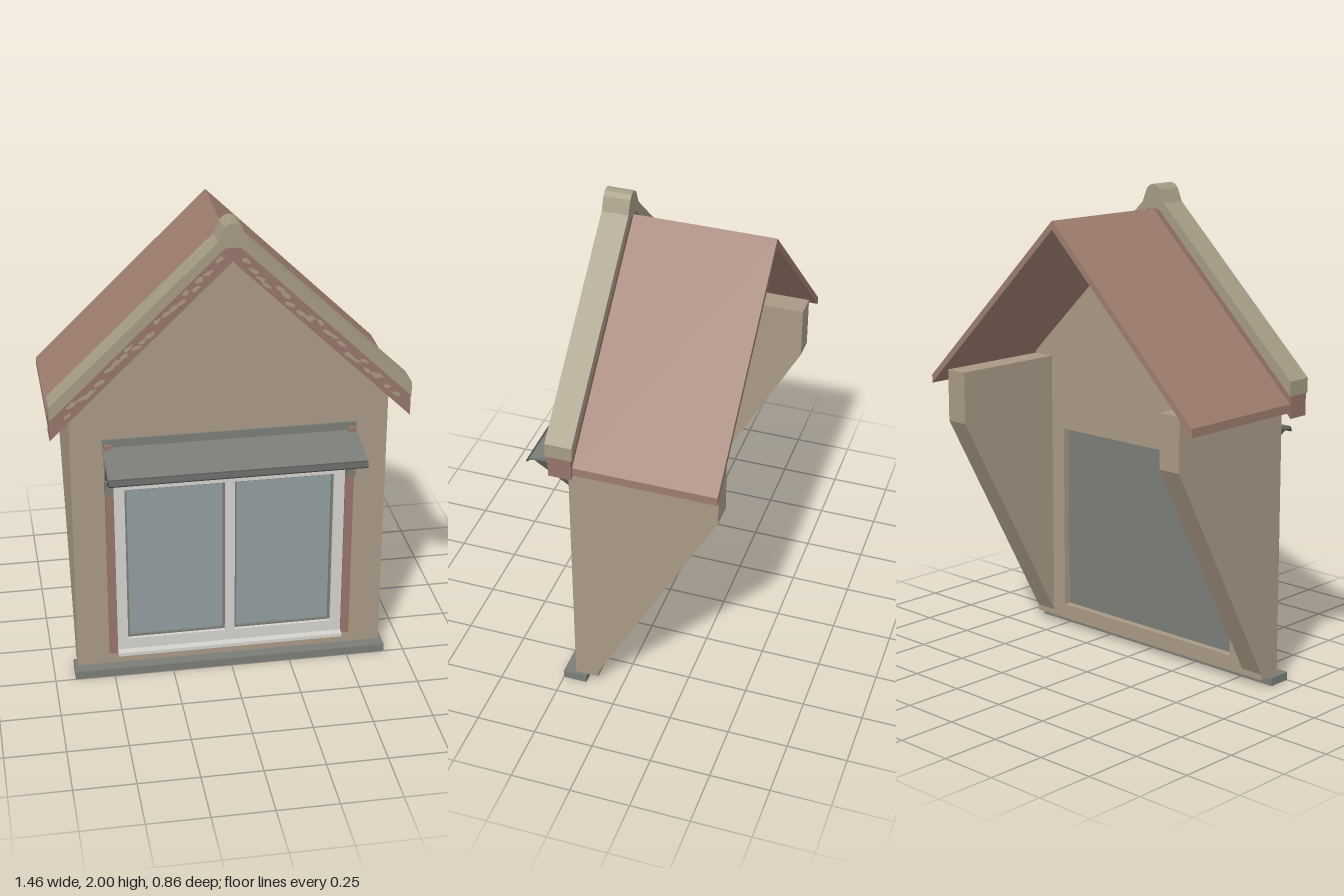
import * as THREE from 'three';

const mat = (name, color, side = THREE.FrontSide) => {
  const m = new THREE.MeshStandardMaterial({ color, side });
  m.name = name;
  return m;
};

export function createModel() {
  const wall = mat('render', 0xa89985);
  const stone = mat('coping stone', 0xa59b84);
  const tile = mat('roof tile', 0x9d7c6e);
  const brick = mat('brick', 0x97746a);
  const grey = mat('grey metal', 0x7a7d77);
  const dark = mat('dark metal', 0x525652);
  const white = mat('window white', 0xd3d2cd);
  const glass = mat('glass', 0x919c9e);

  const root = new THREE.Group();
  root.name = 'dormer';
  const add = (name, geo, material, parent = root) => {
    const mesh = new THREE.Mesh(geo, material);
    mesh.name = name;
    parent.add(mesh);
    return mesh;
  };
  // Box given by its limits on each axis
  const box = (name, [x0, x1], [y0, y1], [z0, z1], material, parent) => {
    const g = new THREE.BoxGeometry(x1 - x0, y1 - y0, z1 - z0);
    g.translate((x0 + x1) / 2, (y0 + y1) / 2, (z0 + z1) / 2);
    return add(name, g, material, parent);
  };
  const toShape = pts => new THREE.Shape(pts.map(p => new THREE.Vector2(...p)));
  const rect = (x0, x1, y0, y1) => toShape([[x0, y0], [x1, y0], [x1, y1], [x0, y1]]);
  // Shape in x,y extruded from z0 to z1
  const slab = (shape, z0, z1) =>
    new THREE.ExtrudeGeometry(shape, { depth: z1 - z0, bevelEnabled: false }).translate(0, 0, z0);
  // Shape in z,y extruded from x0 to x1
  const sideSlab = (pts, x0, x1) =>
    new THREE.ExtrudeGeometry(toShape(pts), { depth: x1 - x0, bevelEnabled: false })
      .rotateY(-Math.PI / 2).translate(x1, 0, 0);
  // Complete a symmetric outline from its +x half
  const mirrored = half =>
    toShape([...half, ...half.filter(p => p[0] > 0).reverse().map(([x, y]) => [-x, y])]);

  // Front gable wall with window opening
  const gable = toShape([[-0.65, 0.035], [0.65, 0.035], [0.65, 1.23], [0, 1.86], [-0.65, 1.23]]);
  gable.holes.push(rect(-0.48, 0.48, 0.1, 0.905));
  add('frontWall', slab(gable, 0.1, 0.2), wall);

  // Side cheeks tapering down to the wall
  const cheek = [[0.1, 0.035], [0.1, 0.06], [-0.41, 1.0], [-0.41, 1.22], [0.1, 1.22]];
  for (const [name, x0] of [['leftCheek', 0.55], ['rightCheek', -0.65]])
    add(name, sideSlab(cheek, x0, x0 + 0.1), wall);

  // Base ledge
  box('baseLedge', [-0.665, 0.665], [0, 0.035], [0.15, 0.25], grey);

  // Main roof
  add('roof', slab(mirrored([[0, 1.9], [0.73, 1.19], [0.73, 1.155], [0, 1.865]]), -0.43, 0.15), tile);

  // Brick verge and stone coping with rounded peak
  add('brickVerge', slab(mirrored([[0.03, 1.9], [0.73, 1.22], [0.73, 1.13], [0, 1.84]]), 0.155, 0.25), brick);
  add('coping', slab(mirrored([[0, 2], [0.018, 1.995], [0.035, 1.98], [0.046, 1.955], [0.058, 1.925],
    [0.73, 1.28], [0.73, 1.22], [0.03, 1.9]]), 0.15, 0.26), stone);

  // Worn render patches on the brick
  let seed = 7;
  const rnd = () => (seed = (seed * 16807) % 2147483647) / 2147483647;
  const patches = new THREE.Group();
  patches.name = 'renderPatches';
  root.add(patches);
  for (const s of [-1, 1]) for (let i = 0; i < 22; i++) {
    const x = 0.05 + 0.63 * (i + rnd() * 0.8) / 22;
    const y = 1.885 - 0.97 * x + (rnd() - 0.5) * 0.04;
    const pts = [];
    for (let k = 0; k < 8; k++) {
      const a = k * Math.PI / 4, r = 0.5 + 0.7 * rnd();
      const u = Math.cos(a) * r * 0.02, v = Math.sin(a) * r * 0.011;
      pts.push([s * x + u, y + v - s * u * 0.5]);
    }
    add('renderPatch', slab(toShape(pts), 0.249, 0.253), wall, patches);
  }

  // Window: backing panel, frame, gaskets and panes
  const win = new THREE.Group();
  win.name = 'window';
  root.add(win);
  box('backPanel', [-0.48, 0.48], [0.1, 0.905], [0.13, 0.16], grey, win);
  const frame = rect(-0.48, 0.48, 0.1, 0.905);
  for (const x0 of [-0.435, 0.02]) {
    const x1 = x0 + 0.415;
    frame.holes.push(rect(x0, x1, 0.15, 0.86));
    const gasket = rect(x0, x1, 0.15, 0.86);
    gasket.holes.push(rect(x0 + 0.009, x1 - 0.009, 0.159, 0.851));
    add('gasket', slab(gasket, 0.16, 0.19), grey, win);
    box('pane', [x0, x1], [0.15, 0.86], [0.16, 0.18], glass, win);
  }
  add('frame', slab(frame, 0.16, 0.204), white, win);
  box('windowSill', [-0.48, 0.48], [0.085, 0.1], [0.2, 0.237], white, win);
  for (const s of [-1, 1])
    box('brickJamb', [s * 0.4975 - 0.0175, s * 0.4975 + 0.0175], [0.09, 1.0], [0.199, 0.214], brick, win);

  // Canopy: wall rail, sloping sheet and front lip
  const canopy = new THREE.Group();
  canopy.name = 'canopy';
  root.add(canopy);
  box('wallRail', [-0.52, 0.52], [1.055, 1.095], [0.199, 0.208], grey, canopy);
  add('sheet', sideSlab([[0.2, 1.045], [0.42, 1.01], [0.42, 1.022], [0.2, 1.062]], -0.52, 0.52), grey, canopy);
  add('lip', sideSlab([[0.415, 1.024], [0.418, 1.008], [0.43, 0.998], [0.433, 1.004], [0.424, 1.022]], -0.52, 0.52), dark, canopy);

  // Brackets at each end
  for (const s of [-1, 1]) {
    const c = s * 0.5;
    add('brace', sideSlab([[0.215, 0.9], [0.235, 0.9], [0.41, 1.012], [0.385, 1.014]], c - 0.01, c + 0.01), dark, canopy);
    box('wallPlate', [c - 0.012, c + 0.012], [0.87, 1.07], [0.2, 0.22], dark, canopy);
    box('footBlock', [c - 0.016, c + 0.016], [0.86, 0.915], [0.2, 0.236], grey, canopy);
    box('hinge', [c - 0.014, c + 0.014], [1.05, 1.075], [0.2, 0.225], brick, canopy);
  }
  return root;
}
